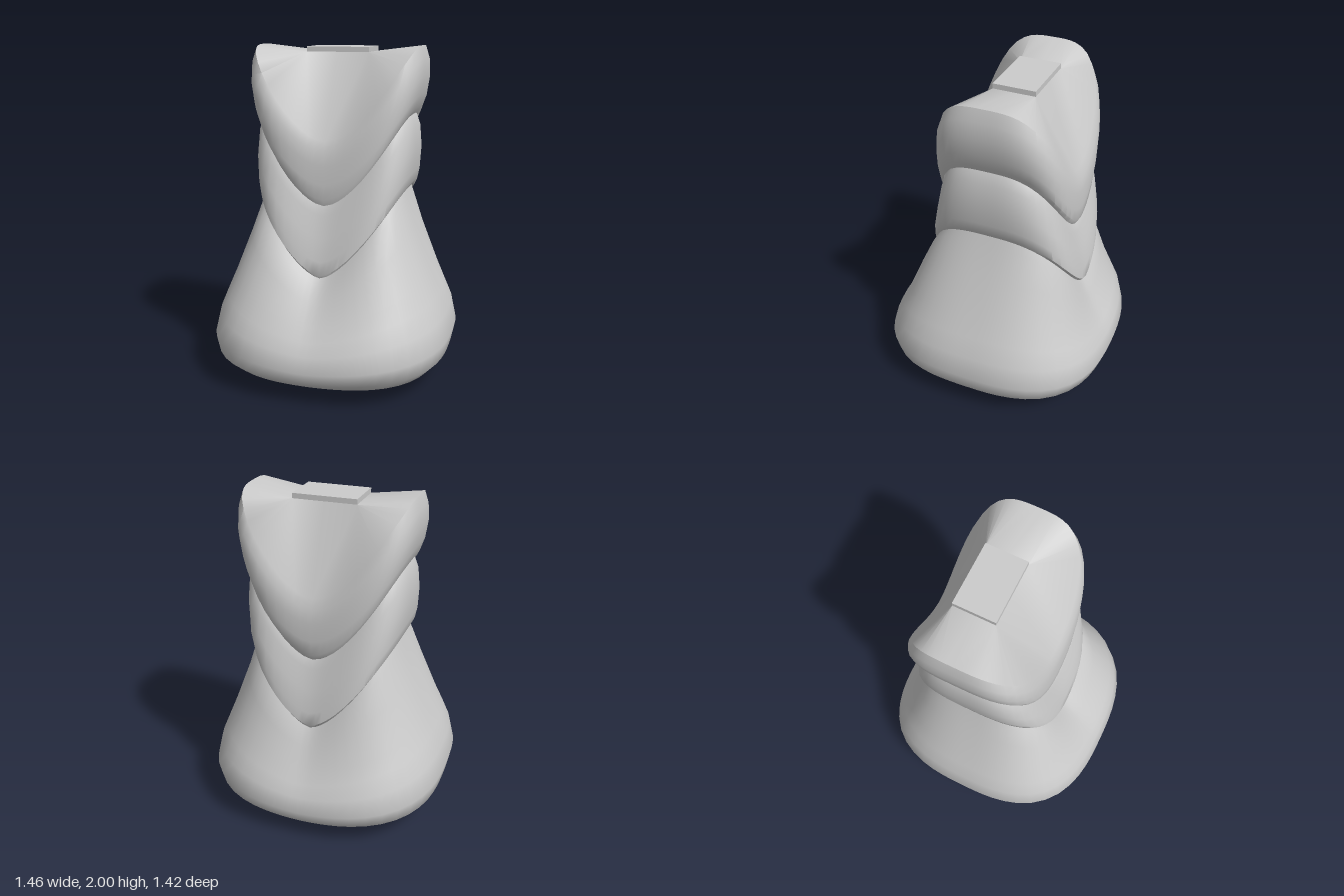
import * as THREE from 'three';
import { toCreasedNormals } from 'three/addons/utils/BufferGeometryUtils.js';

const SEGMENTS = 64;
const PLUG = { halfX: 0.19, front: 0.02, back: -0.23, bottom: 1.96, top: 1.99 };
const material = new THREE.MeshStandardMaterial({ color: 0xcccccc });

// Angles bunched near the axes, where the squarish outline stretches most
const angles = Array.from({ length: SEGMENTS }, (_, j) => {
  const u = (j / SEGMENTS) * Math.PI * 2;
  return u - (0.75 * Math.sin(4 * u)) / 4;
});
const snap = (v) => (Math.abs(v) < 1e-6 ? 0 : v);
const power = (v, p) => Math.sign(v) * Math.abs(v) ** p;

// Saddle-shaped ring: high at the sides, dipping at front and back
function saddleRing([ySide, yFront, halfX, zFront, zBack, p]) {
  return angles.map((t) => {
    const c = snap(Math.cos(t)), s = snap(Math.sin(t));
    return new THREE.Vector3(
      halfX * power(c, p),
      yFront + (ySide - yFront) * Math.abs(c),
      (zFront + zBack) / 2 + ((zFront - zBack) / 2) * power(s, p)
    );
  });
}

// Every quadrant of the rim fans in to one corner of the plug
function plugRing() {
  const mid = (PLUG.front + PLUG.back) / 2, half = (PLUG.front - PLUG.back) / 2;
  return angles.map((t) => new THREE.Vector3(
    PLUG.halfX * Math.sign(snap(Math.cos(t))),
    PLUG.bottom,
    mid + half * Math.sign(snap(Math.sin(t)))
  ));
}

// Skin a stack of rings, leaving out collapsed triangles
function skin(name, rings) {
  const out = [];
  const edge1 = new THREE.Vector3(), edge2 = new THREE.Vector3();
  const face = (a, b, c) => {
    edge1.subVectors(b, a);
    edge2.subVectors(c, a);
    if (edge1.cross(edge2).length() < 1e-8) return;
    for (const v of [a, b, c]) out.push(v.x, v.y, v.z);
  };
  for (let i = 0; i < rings.length - 1; i++) {
    for (let j = 0; j < SEGMENTS; j++) {
      const k = (j + 1) % SEGMENTS;
      face(rings[i][j], rings[i + 1][j], rings[i][k]);
      face(rings[i][k], rings[i + 1][j], rings[i + 1][k]);
    }
  }
  const geometry = new THREE.BufferGeometry();
  geometry.setAttribute('position', new THREE.Float32BufferAttribute(out, 3));
  const mesh = new THREE.Mesh(toCreasedNormals(geometry, 0.75), material);
  mesh.name = name;
  return mesh;
}

export function createModel() {
  const group = new THREE.Group();
  group.name = 'layeredBody';

  // Each ring: side height, front height, half width, front z, back z, roundness
  const lower = [
    [0, 0, 0, 0, 0, 0.72],
    [0.005, 0.005, 0.2, 0.2, -0.2, 0.72],
    [0.03, 0.03, 0.45, 0.43, -0.43, 0.72],
    [0.10, 0.08, 0.64, 0.61, -0.61, 0.72],
    [0.18, 0.13, 0.71, 0.69, -0.69, 0.72],
    [0.28, 0.2, 0.73, 0.71, -0.715, 0.72],
    [0.42, 0.29, 0.7, 0.68, -0.69, 0.72],
    [0.54, 0.36, 0.65, 0.64, -0.65, 0.71],
    [0.66, 0.43, 0.6, 0.59, -0.61, 0.7],
    [0.92, 0.55, 0.5, 0.51, -0.55, 0.68],
    [1.10, 0.64, 0.44, 0.44, -0.51, 0.66],
    [1.20, 0.72, 0.41, 0.37, -0.46, 0.66],
  ];
  const middle = [
    [1.18, 0.69, 0.41, 0.38, -0.47, 0.66],
    [1.16, 0.67, 0.435, 0.405, -0.5, 0.66],
    [1.19, 0.69, 0.455, 0.415, -0.515, 0.66],
    [1.26, 0.77, 0.47, 0.405, -0.51, 0.65],
    [1.40, 0.90, 0.48, 0.37, -0.48, 0.63],
    [1.53, 1.03, 0.47, 0.335, -0.45, 0.61],
    [1.59, 1.09, 0.45, 0.315, -0.43, 0.6],
    [1.65, 1.15, 0.42, 0.28, -0.39, 0.6],
  ];
  const upper = [
    [1.62, 1.12, 0.42, 0.29, -0.40, 0.6],
    [1.60, 1.09, 0.45, 0.32, -0.44, 0.6],
    [1.64, 1.125, 0.475, 0.33, -0.46, 0.6],
    [1.72, 1.21, 0.503, 0.33, -0.465, 0.59],
    [1.83, 1.32, 0.52, 0.325, -0.465, 0.58],
    [1.93, 1.40, 0.515, 0.315, -0.455, 0.58],
    [2.0, 1.46, 0.495, 0.29, -0.43, 0.58],
  ];
  group.add(skin('lowerBody', lower.map(saddleRing)));
  group.add(skin('middleLayer', middle.map(saddleRing)));
  group.add(skin('upperLayer', [...upper.map(saddleRing), plugRing()]));

  // Flat plug on top
  const height = PLUG.top - PLUG.bottom;
  const plug = new THREE.Mesh(
    new THREE.BoxGeometry(PLUG.halfX * 2, height, PLUG.front - PLUG.back), material);
  plug.position.set(0, PLUG.bottom + height / 2, (PLUG.front + PLUG.back) / 2);
  plug.name = 'topPlug';
  group.add(plug);
  return group;
}
